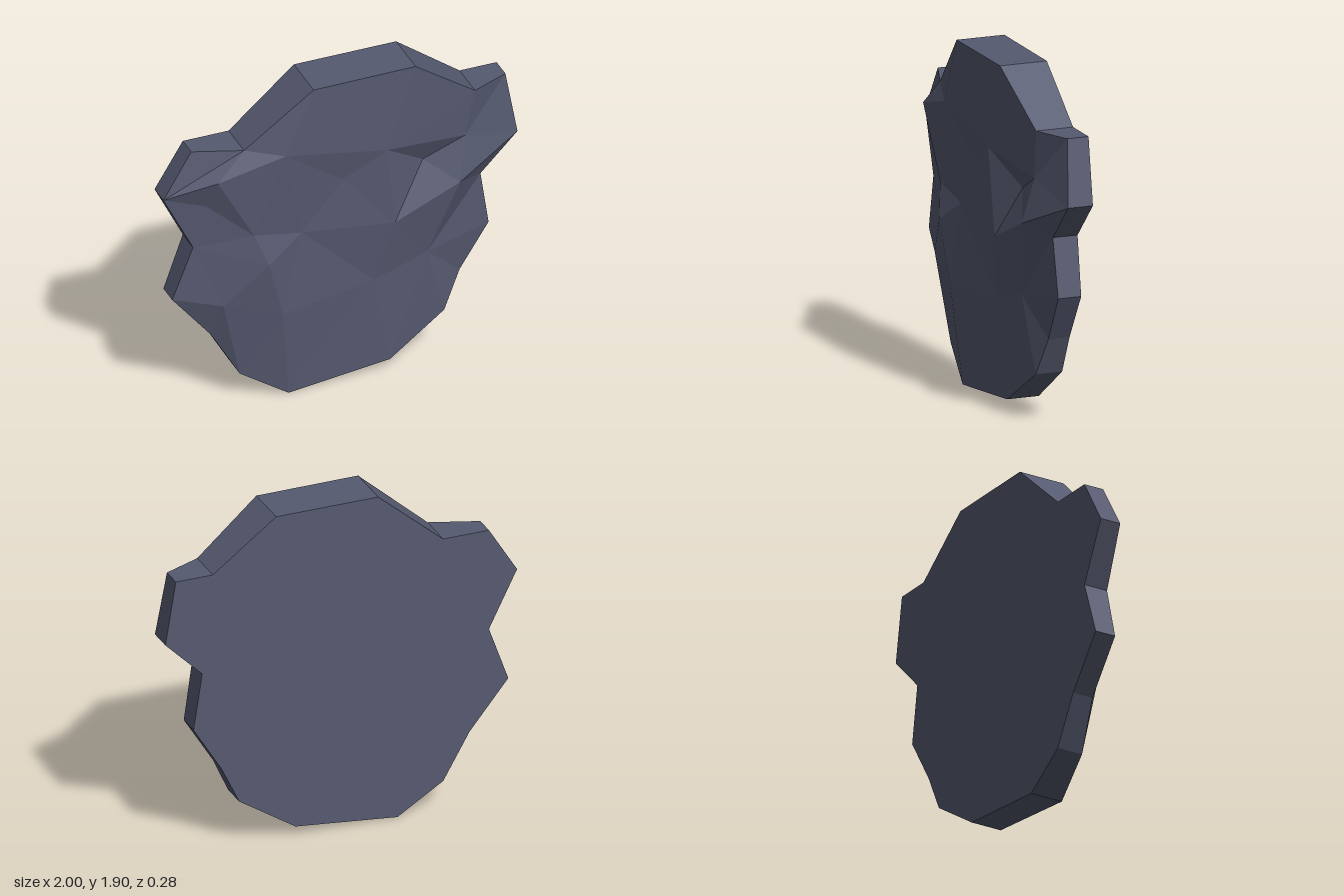
import * as THREE from 'three';

// Rim of the slab, clockwise from the top: x, y and height of the front edge
const rim = [
  [-0.21, 1.9, 0.13], [0.37, 1.9, 0.125], [0.73, 1.63, 0.07], [0.94, 1.63, -0.02],
  [1, 1.27, 0], [0.79, 1.06, 0], [0.84, 0.74, -0.01], [0.68, 0.48, -0.02],
  [0.58, 0.27, 0.01], [0.26, 0.06, 0.04], [-0.32, 0, 0.05], [-0.58, 0.16, 0.01],
  [-0.73, 0.42, -0.02], [-0.95, 0.69, -0.02], [-0.84, 1, 0], [-1, 1.32, -0.02],
  [-0.84, 1.58, -0.025], [-0.58, 1.58, 0.07],
];

// Peaks and hollows of the chipped front
const knots = {
  a: [-0.37, 1.53, 0.135], b: [-0.74, 1.43, 0.1], c: [-0.03, 1.28, 0.095],
  d: [0.21, 1.42, 0.125], e: [0.45, 1.25, 0.03], f: [0.68, 1.36, 0.06],
  g: [0.63, 1.11, 0.11], h: [0.26, 0.95, 0.11], i: [-0.26, 1, 0.085],
  j: [-0.53, 1.05, 0.09], k: [-0.46, 0.87, 0.125], l: [-0.37, 0.53, 0.1],
  m: [0.16, 0.59, 0.065], n: [0.47, 0.68, 0.045], o: [-0.69, 0.63, 0.055],
  q: [-0.78, 1.26, 0.03],
};

// Facet fans: hub, then the points around it
const fans = [
  'a 0 17 b j i c d 0', 'h i m n g e d c i', 'f d e g 4 3 2 d',
  'o 14 13 12 11 l k 14', 'q 15 14 j b 15', 'k l i j 14',
  'm i l 10 9 n', 'n 9 8 7 6 5 g', '17 16 15 b', 'd 2 1 0', 'l 11 10', '5 4 g',
];

const BACK = -0.14;

function facetMesh(name, triangles, material) {
  const geometry = new THREE.BufferGeometry();
  geometry.setAttribute('position', new THREE.Float32BufferAttribute(triangles.flat(2), 3));
  geometry.computeVertexNormals();
  const mesh = new THREE.Mesh(geometry, material);
  mesh.name = name;
  return mesh;
}

// Turn a triangle so that it faces +z (sign 1) or -z (sign -1)
function facing([p, q, r], sign) {
  const area = (q[0] - p[0]) * (r[1] - p[1]) - (q[1] - p[1]) * (r[0] - p[0]);
  return area * sign > 0 ? [p, q, r] : [p, r, q];
}

export function createModel() {
  const group = new THREE.Group();
  group.name = 'rockSlab';
  const stone = new THREE.MeshStandardMaterial({ color: 0x565a70 });
  stone.name = 'slateStone';
  stone.flatShading = true;

  // Chipped front
  const point = (key) => knots[key] ?? rim[Number(key)];
  const front = [];
  for (const fan of fans) {
    const [hub, ...ring] = fan.split(' ').map(point);
    for (let n = 0; n + 1 < ring.length; n++) front.push(facing([hub, ring[n], ring[n + 1]], 1));
  }
  group.add(facetMesh('chippedFront', front, stone));

  // Straight side walls
  const sides = [];
  rim.forEach((p, n) => {
    const q = rim[(n + 1) % rim.length];
    const pBack = [p[0], p[1], BACK];
    const qBack = [q[0], q[1], BACK];
    sides.push([p, q, qBack], [p, qBack, pBack]);
  });
  group.add(facetMesh('sideWalls', sides, stone));

  // Flat back
  const outline = rim.map(([x, y]) => new THREE.Vector2(x, y));
  const back = THREE.ShapeUtils.triangulateShape(outline, []).map((face) =>
    facing(face.map((n) => [rim[n][0], rim[n][1], BACK]), -1));
  group.add(facetMesh('flatBack', back, stone));

  return group;
}
